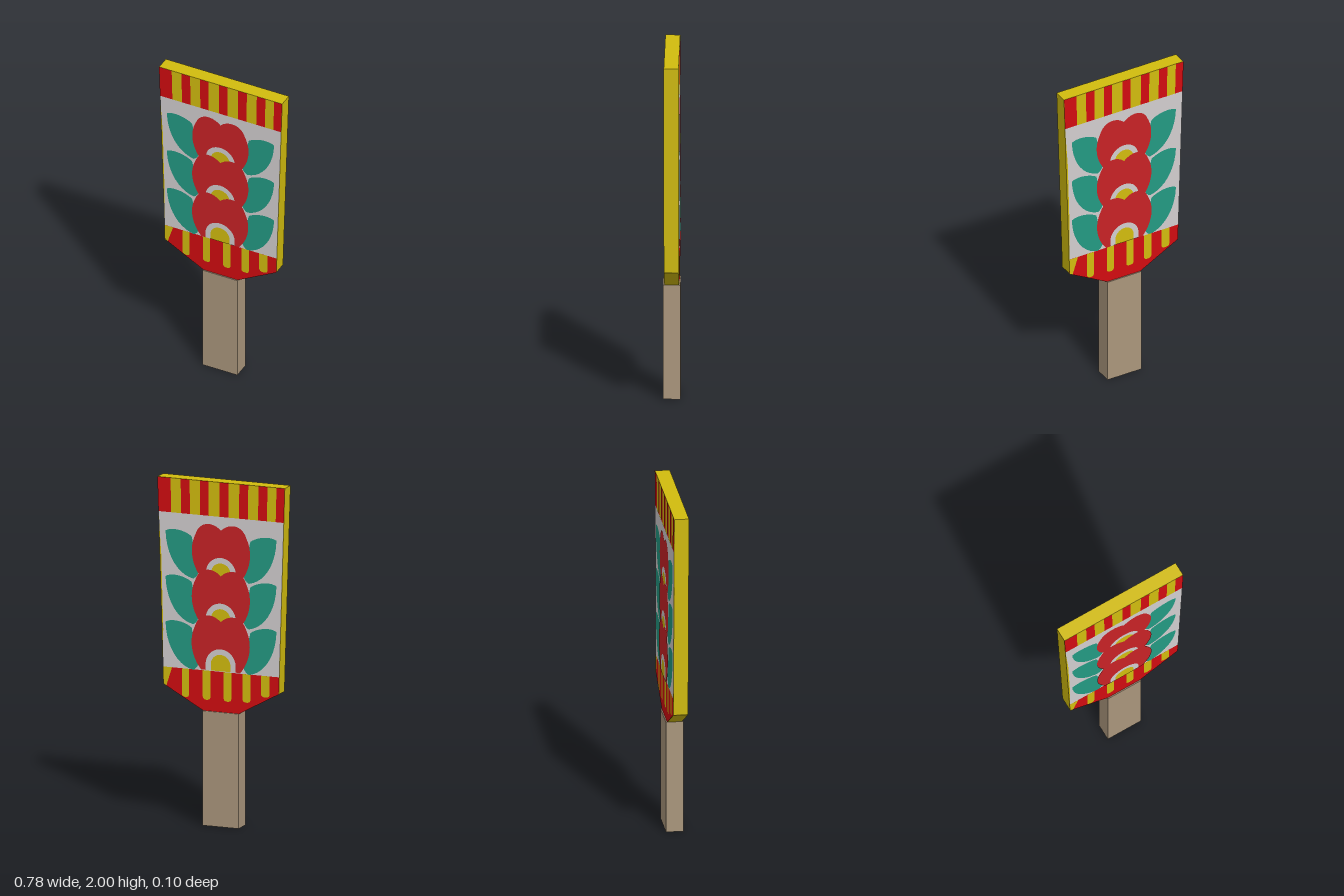
import * as THREE from 'three';

const mat = (name, color) => {
  const m = new THREE.MeshStandardMaterial({ color });
  m.name = name;
  return m;
};

export function createModel() {
  const yellow = mat('yellow', 0xd2bc0e);
  const red = mat('bright red', 0xd20c10);
  const petalRed = mat('petal red', 0xc82226);
  const green = mat('leaf green', 0x239a83);
  const white = mat('panel white', 0xd2cecf);
  const wood = mat('handle wood', 0xaa967c);

  const model = new THREE.Group();
  model.name = 'paddle';
  const V = (x, y) => new THREE.Vector2(x, y);
  const poly = (...p) => new THREE.Shape(p.map(([x, y]) => V(x, y)));
  const halfWidth = (y) => 0.353 + ((y - 0.8) / 1.2) * 0.037;
  const FACE = 0.042, STEP = 0.0007; // board face depth and paint layer spacing

  // Handle
  const handle = new THREE.Mesh(new THREE.BoxGeometry(0.22, 0.666, 0.1), wood);
  handle.name = 'handle';
  handle.position.y = 0.333;
  model.add(handle);

  // Tapered board with a sloped shoulder
  const outline = poly([-0.11, 0.666], [0.11, 0.666], [0.353, 0.8], [0.39, 2], [-0.39, 2], [-0.353, 0.8]);
  const boardGeo = new THREE.ExtrudeGeometry(outline, { depth: 0.098, bevelEnabled: false });
  boardGeo.translate(0, 0, -0.049);
  const board = new THREE.Mesh(boardGeo, yellow);
  board.name = 'board';
  model.add(board);

  // Half-round arch on a short straight base
  const arch = (r, cy, drop) => {
    const s = new THREE.Shape();
    s.moveTo(-r, cy - drop);
    s.lineTo(r, cy - drop);
    s.lineTo(r, cy);
    s.absarc(0, cy, r, 0, Math.PI, false);
    return s;
  };

  // Leaf on the -x side, measured from its tip
  const leaf = (side, y) => {
    const s = new THREE.Shape();
    s.moveTo(-0.34, 0);
    s.bezierCurveTo(-0.3, 0.025, -0.22, 0.01, -0.18, -0.02);
    s.lineTo(-0.135, -0.21);
    s.quadraticCurveTo(-0.14, -0.25, -0.17, -0.265);
    s.bezierCurveTo(-0.26, -0.25, -0.335, -0.15, -0.34, 0);
    return new THREE.Shape(s.getPoints(10).map((p) => V(p.x * side, p.y + y)));
  };

  // Two-lobed blossom, measured from the notch between the lobes
  const blossom = (n) => {
    const s = new THREE.Shape();
    s.moveTo(0, n);
    s.bezierCurveTo(0.05, n + 0.05, 0.13, n + 0.045, 0.155, n - 0.03);
    s.bezierCurveTo(0.2, n - 0.12, 0.175, n - 0.22, 0.12, n - 0.285);
    s.lineTo(-0.12, n - 0.285);
    s.bezierCurveTo(-0.175, n - 0.22, -0.2, n - 0.12, -0.155, n - 0.03);
    s.bezierCurveTo(-0.13, n + 0.045, -0.05, n + 0.05, 0, n);
    return s;
  };

  // Painted decoration of one face
  const paintFace = (name) => {
    const face = new THREE.Group();
    face.name = name;
    const paint = (part, shapes, material, layer) => {
      const mesh = new THREE.Mesh(new THREE.ShapeGeometry(shapes, 16), material);
      mesh.name = part;
      mesh.position.z = 0.049 - 0.042 + FACE + layer * STEP - 0.0066;
      face.add(mesh);
    };

    paint('panel', poly([-halfWidth(0.9), 0.9], [halfWidth(0.9), 0.9], [halfWidth(1.8), 1.8],
      [-halfWidth(1.8), 1.8], [-0.366, 1.55], [-0.354, 1.12]), white, 1.4);

    // Top band: red stripes, board colour between
    const reds = [[-0.39, -0.31], [-0.248, -0.193], [-0.13, -0.077], [-0.01, 0.045],
      [0.112, 0.167], [0.23, 0.285], [0.34, 0.39]];
    const slant = (x, y) => (x * halfWidth(y)) / 0.39;
    paint('topStripes', reds.map(([a, b]) =>
      poly([slant(a, 1.8), 1.8], [slant(b, 1.8), 1.8], [b, 2], [a, 2])), red, 1.4);

    // Lower band with round-ended bars
    paint('lowerBand', poly([-0.11, 0.666], [0.11, 0.666], [0.353, 0.8],
      [halfWidth(0.9), 0.9], [-halfWidth(0.9), 0.9], [-0.353, 0.8]), red, 1.4);
    const bars = [[-0.24, -0.195, 0.735], [-0.112, -0.065, 0.73], [0.016, 0.063, 0.73],
      [0.132, 0.18, 0.735], [0.245, 0.297, 0.775]];
    const barShapes = bars.map(([a, b, y]) => {
      const s = new THREE.Shape();
      s.moveTo(b, 0.9);
      s.lineTo(a, 0.9);
      s.lineTo(a, y + 0.02);
      s.quadraticCurveTo(a, y, (a + b) / 2, y);
      s.quadraticCurveTo(b, y, b, y + 0.02);
      return s;
    });
    barShapes.push(poly([-0.353, 0.8], [-0.335, 0.79], [-0.3, 0.9], [-halfWidth(0.9), 0.9]));
    paint('bars', barShapes, yellow, 2.4);

    // Three stacked blossoms, each lower one over the one above
    for (let i = 0; i < 3; i++) {
      const n = 1.72 - i * 0.265;
      paint('leaves', [leaf(1, n - 0.028), leaf(-1, n - 0.028)], green, 2.4);
      paint('petals', blossom(n), petalRed, 3.4 + i * 3);
      paint('blossomRing', arch(0.092, n - 0.25, 0.035), white, 4.4 + i * 3);
      paint('blossomHeart', arch(0.06, n - 0.25, 0.035), yellow, 5.4 + i * 3);
    }
    return face;
  };

  const front = paintFace('frontPainting');
  const back = paintFace('backPainting');
  back.rotation.y = Math.PI;
  model.add(front, back);
  // Keep the board just behind the paint
  board.scale.z = FACE / 0.049;
  return model;
}
